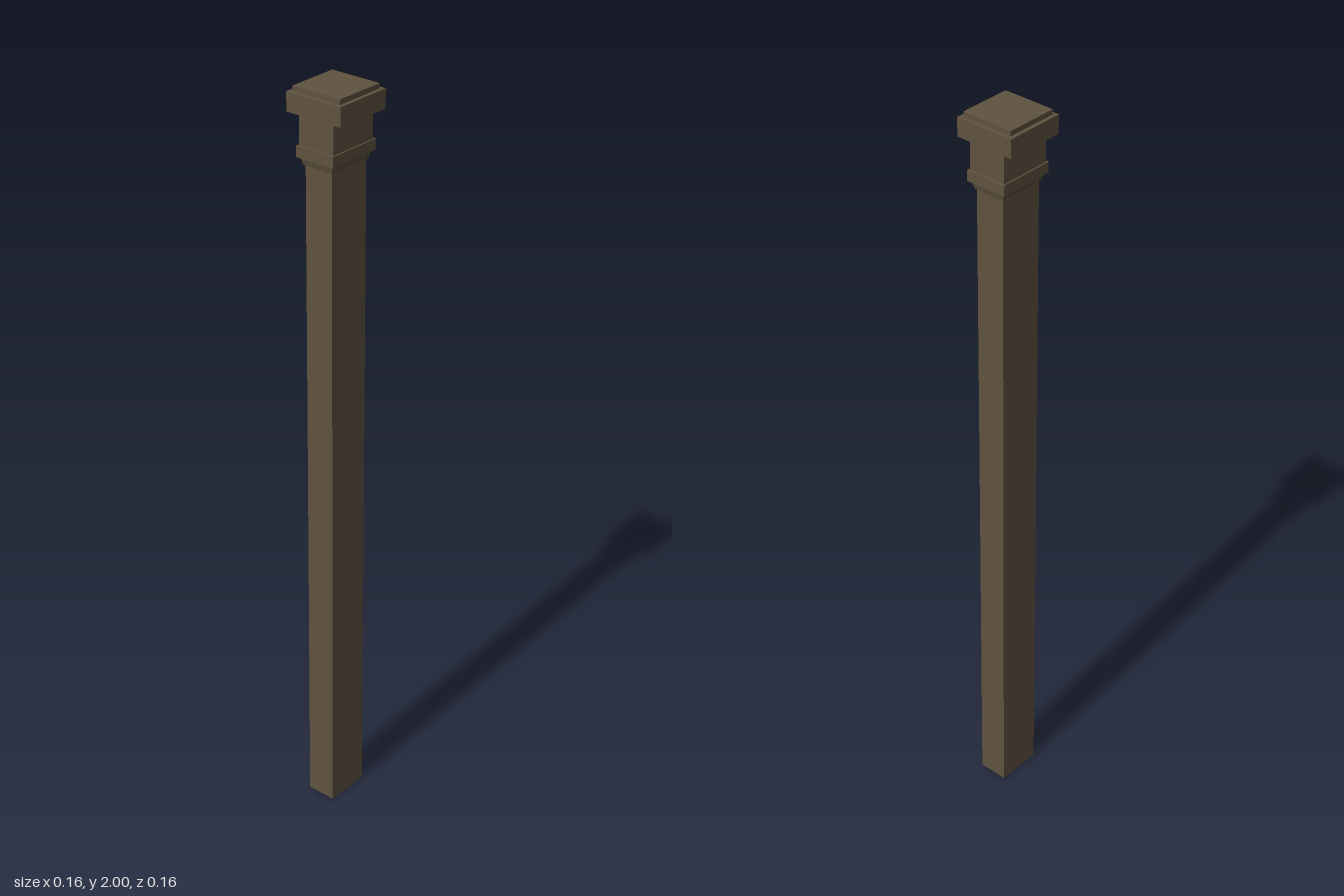
import * as THREE from 'three';

export function createModel() {
  const group = new THREE.Group();
  const brown = new THREE.MeshStandardMaterial({ color: 0x60523f });
  brown.name = 'weathered brown';

  // Rectangular tier between two heights, optionally narrowing to a smaller bottom
  function tier(name, y0, y1, halfX, halfZ, bottomX = halfX, bottomZ = halfZ) {
    const geo = new THREE.BoxGeometry(2, y1 - y0, 2);
    const p = geo.attributes.position;
    for (let i = 0; i < p.count; i++) {
      const top = p.getY(i) > 0;
      p.setX(i, p.getX(i) * (top ? halfX : bottomX));
      p.setZ(i, p.getZ(i) * (top ? halfZ : bottomZ));
    }
    geo.computeVertexNormals();
    const mesh = new THREE.Mesh(geo, brown);
    mesh.name = name;
    mesh.position.y = (y0 + y1) / 2;
    group.add(mesh);
  }

  // Plain rectangular shaft
  tier('shaft', 0, 1.812, 0.062, 0.04);
  // Stepped capital, from the bottom up
  tier('lowerMoulding', 1.812, 1.832, 0.071, 0.049, 0.066, 0.043);
  tier('collarBand', 1.832, 1.86, 0.077, 0.056);
  tier('neck', 1.86, 1.938, 0.071, 0.052);
  tier('capSlab', 1.938, 1.987, 0.081, 0.081);
  tier('topPlate', 1.987, 2, 0.071, 0.071);

  return group;
}
